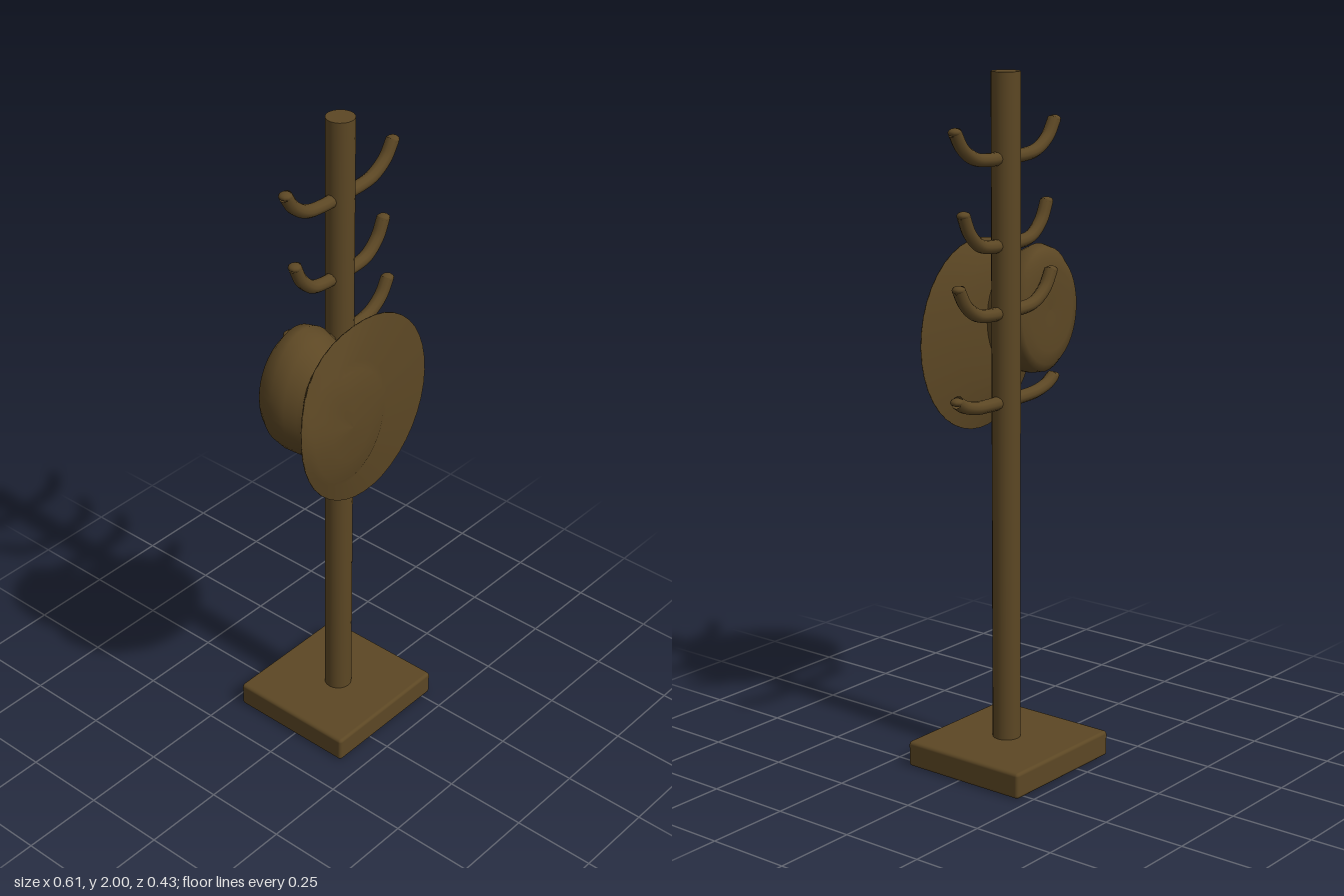
import * as THREE from 'three';
import { RoundedBoxGeometry } from 'three/addons/geometries/RoundedBoxGeometry.js';

const POLE_X = 0.07, POLE_Z = -0.008;

// Closed skin through elliptical rings [cx, cy, rx, ry, z], listed front to back.
// bend(x, y, z, angle) may shift the depth of a point.
function loft(rings, bend = (x, y, z) => z, n = 40) {
  const pos = [], idx = [];
  rings.forEach(([cx, cy, rx, ry, z]) => {
    for (let i = 0; i < n; i++) {
      const a = (i / n) * Math.PI * 2;
      const x = cx + rx * Math.cos(a), y = cy + ry * Math.sin(a);
      pos.push(x, y, bend(x, y, z, a));
    }
  });
  for (let r = 0; r < rings.length - 1; r++) {
    for (let i = 0; i < n; i++) {
      const a = r * n + i, b = r * n + (i + 1) % n;
      idx.push(a, a + n, b, b, a + n, b + n);
    }
  }
  const g = new THREE.BufferGeometry();
  g.setAttribute('position', new THREE.Float32BufferAttribute(pos, 3));
  g.setIndex(idx);
  g.computeVertexNormals();
  return g;
}

export function createModel() {
  const group = new THREE.Group();
  const wood = new THREE.MeshStandardMaterial({ color: 0x5c4724, side: THREE.DoubleSide });
  wood.name = 'darkBrown';
  const add = (name, geometry, x = 0, y = 0, z = 0, parent = group) => {
    const m = new THREE.Mesh(geometry, wood);
    m.name = name;
    m.position.set(x, y, z);
    parent.add(m);
    return m;
  };

  // Square foot and round pole
  add('base', new RoundedBoxGeometry(0.426, 0.076, 0.404, 2, 0.01), 0.071, 0.04, -0.016);
  add('pole', new THREE.CylinderGeometry(0.041, 0.041, 1.94, 20), POLE_X, 1.03, POLE_Z);

  // Mirrored pairs of upturned hooks: [lowest y, tip y, reach]
  const hooks = new THREE.Group();
  hooks.name = 'hooks';
  group.add(hooks);
  [[1.765, 1.852, 0.217], [1.525, 1.625, 0.183], [1.335, 1.425, 0.205], [1.08, 1.115, 0.215]]
    .forEach(([low, tip, reach]) => {
      for (const s of [-1, 1]) {
        const rise = tip - low;
        const path = new THREE.CatmullRomCurve3([
          [0, 0.01], [0.35, 0], [0.62, 0.1], [0.86, 0.48], [1, 1],
        ].map(([u, v]) => new THREE.Vector3(POLE_X + s * reach * u, low + rise * v, POLE_Z)));
        add('hook', new THREE.TubeGeometry(path, 20, 0.019, 10), 0, 0, 0, hooks);
        const end = add('hookTip', new THREE.SphereGeometry(0.0195, 10, 8), 0, 0, 0, hooks);
        end.position.copy(path.getPoint(1));
        end.scale.y = 0.6;
      }
    });

  // Hanging hat, its brim facing forward and its crown towards the pole
  const hat = new THREE.Group();
  hat.name = 'hat';
  group.add(hat);

  // Brim folds back a little at its upper corner
  const fold = (x, y, z, a) => {
    const edge = Math.hypot((x + 0.047) / 0.257, (y - 1.23) / 0.28);
    return z - 0.02 * Math.max(0, Math.cos(a - 2.35)) ** 6 * edge ** 3;
  };
  add('brim', loft([
    [-0.13, 1.22, 0, 0, 0.216],
    [-0.13, 1.22, 0.08, 0.1, 0.214],
    [-0.13, 1.22, 0.14, 0.17, 0.205],
    [-0.125, 1.22, 0.16, 0.19, 0.194],
    [-0.047, 1.23, 0.257, 0.28, 0.187],
    [-0.047, 1.23, 0.257, 0.28, 0.183],
    [-0.1, 1.25, 0.18, 0.21, 0.165],
    [-0.13, 1.26, 0.12, 0.15, 0.15],
    [-0.13, 1.26, 0, 0, 0.15],
  ], fold), 0, 0, 0, hat);

  // Crown, flat at the back with a shallow dent
  const dent = (x, y, z) => z < 0.03 ? z + 0.06 * (x + 0.29) * (z < 0.02 ? 1 : 0.5) : z;
  add('crown', loft([
    [-0.155, 1.27, 0.115, 0.15, 0.172],
    [-0.158, 1.275, 0.118, 0.16, 0.14],
    [-0.163, 1.29, 0.132, 0.18, 0.11],
    [-0.165, 1.3, 0.137, 0.19, 0.07],
    [-0.165, 1.3, 0.132, 0.182, 0.035],
    [-0.168, 1.3, 0.118, 0.16, 0.014],
    [-0.168, 1.3, 0.09, 0.12, 0.006],
    [-0.168, 1.3, 0, 0, 0.012],
  ], dent), 0, 0, 0, hat);

  return group;
}
